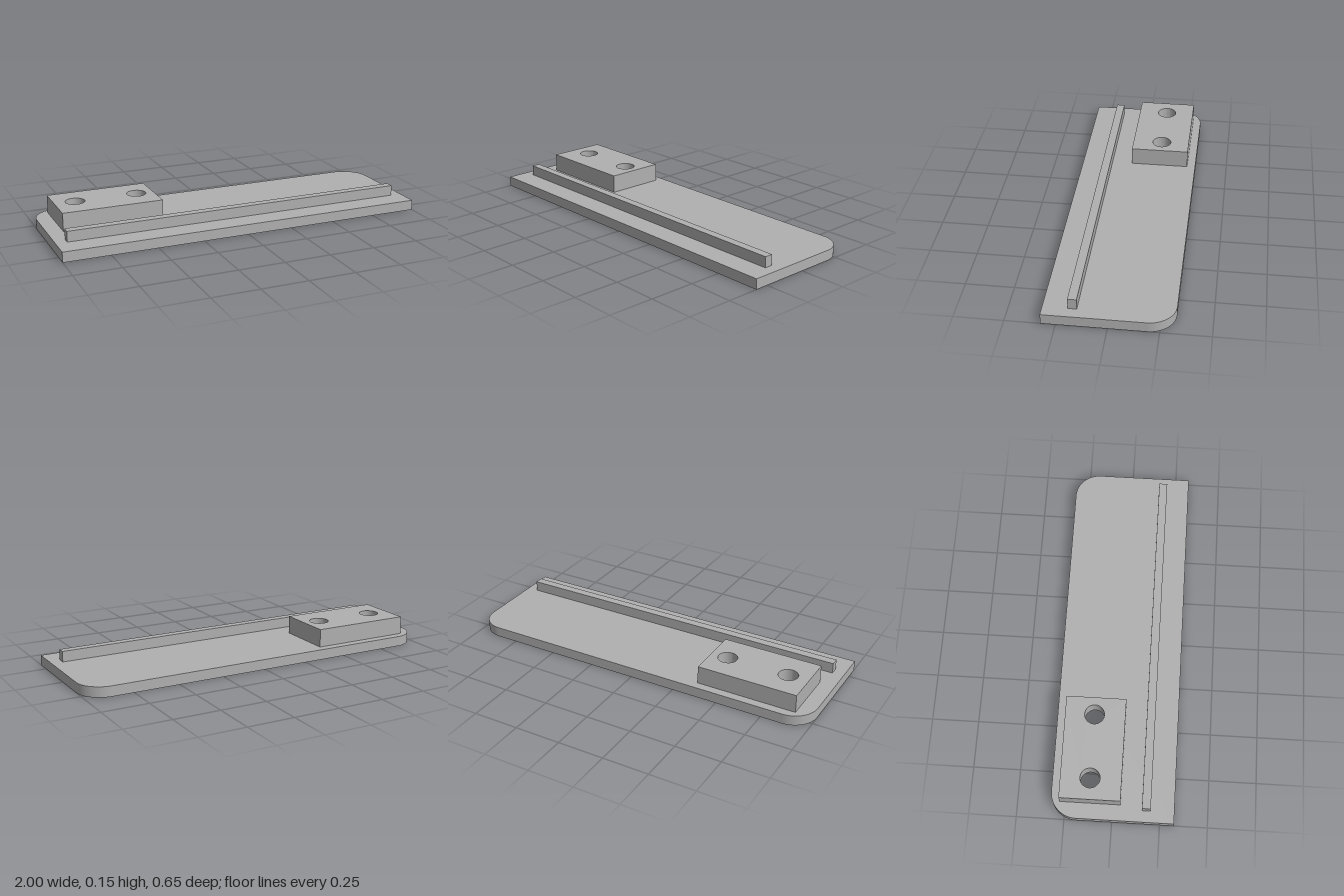
import * as THREE from 'three';
import { toCreasedNormals } from 'three/addons/utils/BufferGeometryUtils.js';

const HOLES = [[-0.805, 0.122], [-0.465, 0.122]]; // x, -z
const BORE = 0.052, SINK = 0.1, PLATE = 0.055;

// Extrudes a plan shape upwards, with a round hole at each screw position
function slab(shape, height, radius) {
  for (const [x, y] of HOLES) {
    const hole = new THREE.Path();
    hole.absarc(x, y, radius, 0, Math.PI * 2, true);
    shape.holes.push(hole);
  }
  return new THREE.ExtrudeGeometry(shape, { depth: height, bevelEnabled: false, curveSegments: 24 });
}

// Narrows the upper rim of each hole to make a countersink
function countersink(geometry) {
  const p = geometry.attributes.position;
  for (let i = 0; i < p.count; i++) {
    if (p.getZ(i) < PLATE / 2) continue;
    for (const [x, y] of HOLES) {
      const dx = p.getX(i) - x, dy = p.getY(i) - y;
      if (Math.hypot(dx, dy) < SINK * 1.01) {
        p.setXY(i, x + dx * BORE / SINK, y + dy * BORE / SINK);
        break;
      }
    }
  }
  return geometry;
}

export function createModel() {
  const model = new THREE.Group();
  const grey = new THREE.MeshStandardMaterial({ color: 0xb0b0b0 });
  grey.name = 'grey';

  const add = (name, geometry, x = 0, y = 0, z = 0) => {
    const mesh = new THREE.Mesh(geometry, grey);
    mesh.name = name;
    mesh.position.set(x, y, z);
    model.add(mesh);
  };
  const finish = (g) => toCreasedNormals(g.rotateX(-Math.PI / 2), 0.5);

  // Base plate with two rounded back corners
  const d = 0.323, r = 0.135;
  const outline = new THREE.Shape();
  outline.moveTo(-1, -d);
  outline.lineTo(1, -d);
  outline.lineTo(1, d - r);
  outline.absarc(1 - r, d - r, r, 0, Math.PI / 2, false);
  outline.lineTo(-1 + r, d);
  outline.absarc(-1 + r, d - r, r, Math.PI / 2, Math.PI, false);
  outline.closePath();
  add('basePlate', finish(countersink(slab(outline, PLATE, SINK))));

  // Mounting block with two screw bores
  const block = new THREE.Shape([
    new THREE.Vector2(-0.917, -0.041), new THREE.Vector2(-0.372, -0.041),
    new THREE.Vector2(-0.372, 0.277), new THREE.Vector2(-0.917, 0.277),
  ]);
  add('mountingBlock', finish(slab(block, 0.098, BORE)), 0, PLATE, 0);

  // Long guide rail
  add('guideRail', new THREE.BoxGeometry(1.88, 0.057, 0.045), 0, PLATE + 0.0285, 0.1765);

  return model;
}
